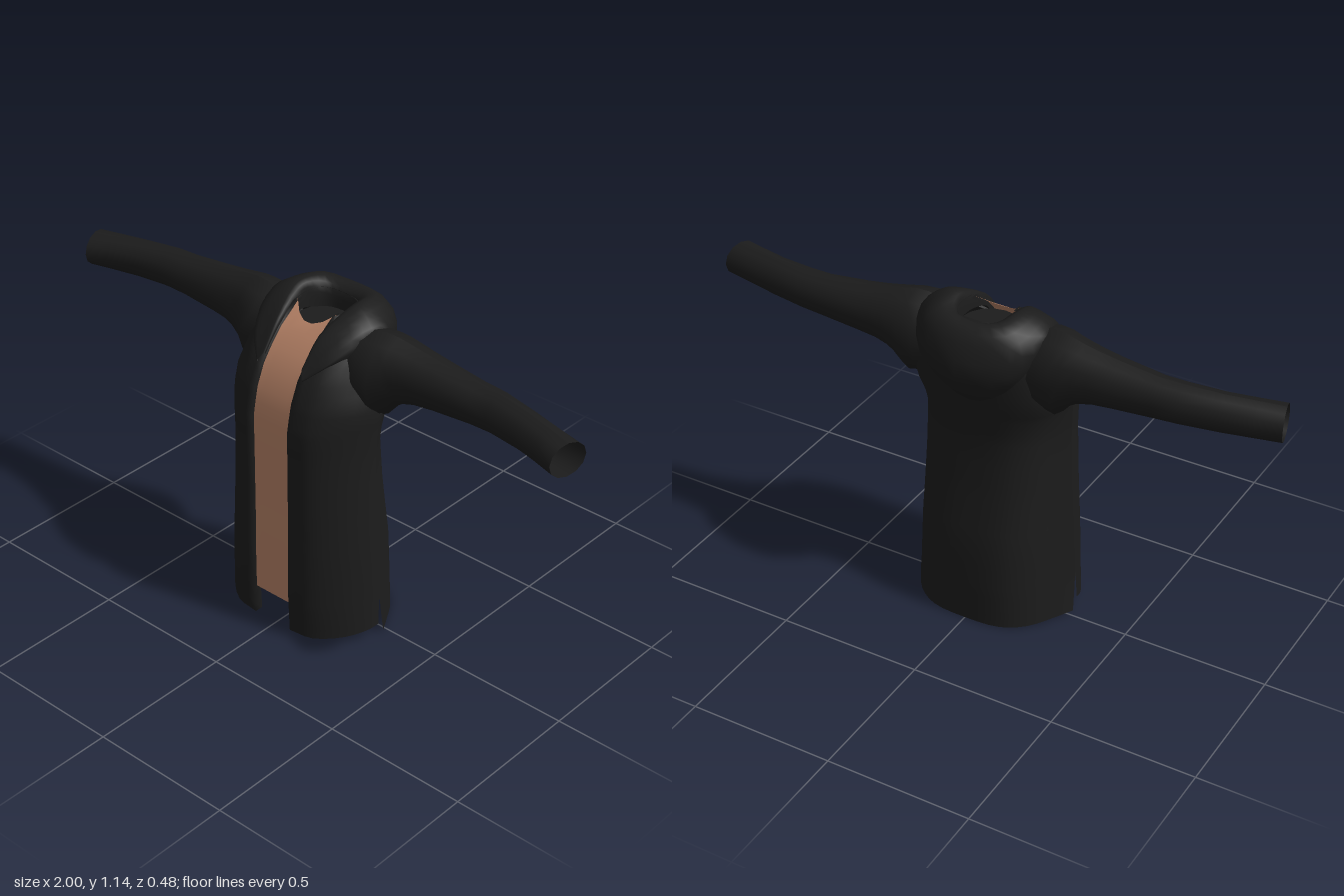
import * as THREE from 'three';

const V = (x, y, z) => new THREE.Vector3(x, y, z);
const lerp = THREE.MathUtils.lerp;

// Surface through rows of points; skip() may leave out cells
function loft(rows, skip = () => false) {
  const n = rows[0].length, index = [], flat = rows.flat();
  for (let r = 0; r < rows.length - 1; r++) {
    for (let c = 0; c < n - 1; c++) {
      const a = r * n + c, b = a + 1, d = a + n, e = d + 1;
      const mid = V(0, 0, 0).add(flat[a]).add(flat[b]).add(flat[d]).add(flat[e]).multiplyScalar(0.25);
      if (!skip(mid)) index.push(a, b, e, a, e, d);
    }
  }
  const g = new THREE.BufferGeometry().setFromPoints(flat);
  g.setIndex(index);
  g.computeVertexNormals();
  return g;
}

const smooth = (pts, n) => new THREE.CatmullRomCurve3(pts).getPoints(n);

// Body stations: height, half width, front z, back z, side seam z
const BODY = [
  [0.01, 0.295, 0.232, -0.187, 0.03], [0.08, 0.293, 0.235, -0.187, 0.033],
  [0.155, 0.291, 0.238, -0.187, 0.035], [0.3, 0.285, 0.238, -0.18, 0.035],
  [0.42, 0.278, 0.236, -0.16, 0.035], [0.52, 0.272, 0.236, -0.145, 0.035],
  [0.68, 0.266, 0.236, -0.13, 0.035], [0.78, 0.27, 0.237, -0.142, 0.03],
  [0.83, 0.275, 0.228, -0.15, 0.025], [0.88, 0.27, 0.217, -0.155, 0.02],
  [0.95, 0.25, 0.187, -0.16, 0], [1.0, 0.235, 0.15, -0.16, -0.01],
  [1.05, 0.21, 0.105, -0.155, -0.02], [1.085, 0.16, 0.06, -0.14, -0.03],
  [1.11, 0.09, 0.025, -0.11, -0.04],
];
const GAP = 0.076; // half width of the front opening

// Side slit: widens towards the hem
const slit = y => Math.max(0, (0.155 - y) / 0.145);

function frontRow([y, w, zf, , s]) {
  const side = s + 0.013 * slit(y);
  const pts = [[0, 1], [0.4, 0.93], [0.78, 0.58], [0.97, 0.2], [1, 0]]
    .map(([k, t]) => V(lerp(GAP, w, k), y + 0.03 * slit(y) * (1 - t) + 0.01 * slit(y), lerp(side, zf, t)));
  return [V(GAP, pts[0].y, zf - 0.03), ...smooth(pts, 12)];
}

// The back tapers towards its middle low down and fills out at the shoulders
function backRow([y, w, , zb, s]) {
  const side = s - 0.012 * slit(y), full = THREE.MathUtils.smoothstep(y, 0.72, 0.92);
  const half = [[1, 1, 0], [0.88, 0.96, 0.3], [0.69, 0.85, 0.7], [0.43, 0.53, 0.94]]
    .map(([low, high, t]) => V(w * lerp(low, high, full), y - 0.006 * slit(y) * t, lerp(side, zb, t)));
  const other = half.map(p => V(-p.x, p.y, p.z)).reverse();
  return smooth([...half, V(0, y - 0.006 * slit(y), zb), ...other], 24);
}

const mirrorRow = row => row.map(p => V(-p.x, p.y, p.z));

// Sleeve stations: x, low y, high y, back z, front z
const SLEEVE = [
  [0.16, 0.85, 1.083, -0.12, 0.088], [0.22, 0.825, 1.098, -0.138, 0.1],
  [0.265, 0.815, 1.1, -0.138, 0.09], [0.3, 0.856, 1.095, -0.133, 0.072],
  [0.34, 0.884, 1.087, -0.128, 0.06], [0.39, 0.899, 1.078, -0.122, 0.05],
  [0.46, 0.907, 1.068, -0.117, 0.042], [0.6, 0.917, 1.053, -0.105, 0.03],
  [0.68, 0.92, 1.052, -0.098, 0.03], [0.8, 0.921, 1.046, -0.075, 0.045],
  [0.9, 0.922, 1.042, -0.053, 0.07], [0.983, 0.923, 1.038, -0.037, 0.095],
];
function sleeveRow([x, y0, y1, z0, z1]) {
  const row = [], tilt = 0.26 * THREE.MathUtils.smoothstep(x, 0.6, 0.98);
  for (let i = 0; i <= 12; i++) {
    const a = i / 12 * Math.PI * 2;
    const z = (z0 + z1) / 2 + Math.sin(a) * (z1 - z0) / 2;
    row.push(V(x - tilt * (z - (z0 + z1) / 2), (y0 + y1) / 2 + Math.cos(a) * (y1 - y0) / 2, z));
  }
  return row;
}

// Hood sections from the lapel tip round to the back, each from inner neck to outer hem
const HOOD = [
  [[0.077, 0.975, 0.165], [0.077, 0.98, 0.168], [0.078, 0.985, 0.17], [0.084, 0.975, 0.178], [0.09, 0.965, 0.184], [0.095, 0.955, 0.187], [0.09, 0.95, 0.178]],
  [[0.078, 1.04, 0.08], [0.078, 1.06, 0.088], [0.082, 1.075, 0.094], [0.1, 1.07, 0.1], [0.13, 1.045, 0.115], [0.152, 1.012, 0.138], [0.15, 1.0, 0.122]],
  [[0.086, 1.06, 0], [0.088, 1.1, 0], [0.1, 1.126, -0.005], [0.135, 1.133, -0.01], [0.178, 1.112, 0.01], [0.205, 1.075, 0.03], [0.2, 1.03, 0.04]],
  [[0.09, 1.05, -0.05], [0.092, 1.1, -0.05], [0.1, 1.134, -0.05], [0.135, 1.14, -0.065], [0.19, 1.11, -0.07], [0.222, 1.075, -0.075], [0.21, 1.0, -0.08]],
  [[0.06, 1.04, -0.095], [0.062, 1.09, -0.1], [0.075, 1.122, -0.11], [0.11, 1.133, -0.142], [0.155, 1.085, -0.17], [0.16, 0.985, -0.18], [0.125, 0.895, -0.14]],
  [[0, 1.04, -0.11], [0, 1.08, -0.112], [0, 1.112, -0.125], [0, 1.125, -0.165], [0, 1.08, -0.213], [0, 0.965, -0.24], [0, 0.84, -0.15]],
];

export function createModel() {
  const model = new THREE.Group();
  const cloth = new THREE.MeshStandardMaterial({ color: 0x1c1c1c, side: THREE.DoubleSide });
  cloth.name = 'black cloth';
  const tan = new THREE.MeshStandardMaterial({ color: 0xb98468, side: THREE.DoubleSide });
  tan.name = 'tan';
  const add = (name, geometry, material = cloth) => {
    const mesh = new THREE.Mesh(geometry, material);
    mesh.name = name;
    model.add(mesh);
    return mesh;
  };

  // Body stations with one extra between each pair
  const stations = BODY.flatMap((s, i) => i ? [s.map((v, j) => (v + BODY[i - 1][j]) / 2), s] : [s]);
  const armhole = p => Math.abs(p.x) > 0.14 && ((p.y - 0.97) / 0.09) ** 2 + ((p.z + 0.005) / 0.085) ** 2 < 1;

  // Front panels, back panel and sleeves
  const fronts = stations.map(frontRow), sleeves = SLEEVE.map(sleeveRow);
  add('leftFrontPanel', loft(fronts, armhole));
  add('rightFrontPanel', loft(fronts.map(mirrorRow), armhole));
  add('backPanel', loft(stations.map(backRow), armhole));
  add('leftSleeve', loft(sleeves));
  add('rightSleeve', loft(sleeves.map(mirrorRow)));

  // Tan front seen through the opening, with a scooped neckline
  const chest = [[0.122, 0, 0.237], ...BODY.filter(s => s[0] > 0.2 && s[0] < 1.06), BODY[BODY.length - 1]];
  add('chestPanel', loft(chest.map(([y, , zf]) => [-1, -0.6, -0.2, 0.2, 0.6, 1].map(k => {
    const dip = y > 1.1 ? 1 - k * k : 0;
    return V(k * 0.08, y - 0.038 * dip, zf - 0.012 + 0.045 * dip);
  }))), tan);

  // Floor closing the inside above the hem
  const level = [0.122, 0.288, 0.23, -0.182, 0.035];
  const frontEdge = frontRow(level).slice(1);
  const outline = [...frontEdge, ...backRow(level), ...mirrorRow(frontEdge).reverse()];
  const floorShape = new THREE.Shape(outline.map(p => new THREE.Vector2(p.x * 0.98, -p.z * 0.97)));
  const floor = add('innerFloor', new THREE.ShapeGeometry(floorShape));
  floor.rotation.x = -Math.PI / 2;
  floor.position.y = 0.122;

  // Cap closing the neck
  const cap = add('neckCap', new THREE.CircleGeometry(0.1, 16));
  cap.rotation.x = -Math.PI / 2;
  cap.position.set(0, 1.045, -0.022);

  // Hood lying on the shoulders, its ends tapering into lapels
  const half = HOOD.map(s => s.map(p => V(...p)));
  const sections = [...half, ...half.slice(0, -1).reverse().map(mirrorRow)].map(s => smooth(s, 12));
  const columns = sections[0].map((_, i) => smooth(sections.map(s => s[i]), 30));
  add('hood', loft(columns));

  return model;
}
